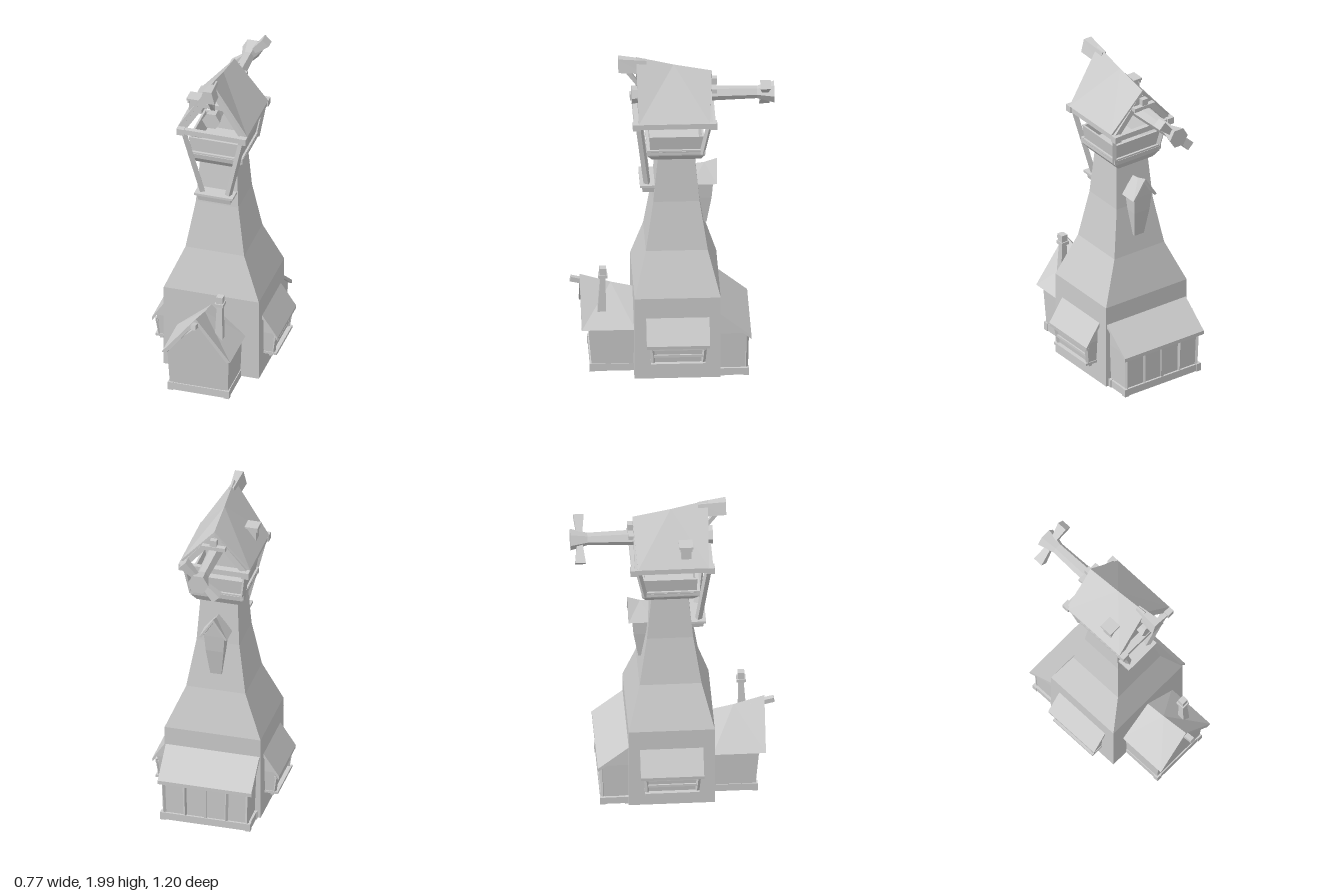
import * as THREE from 'three';

const stone = new THREE.MeshStandardMaterial({ color: 0xcccccc, side: THREE.DoubleSide, flatShading: true });
stone.name = 'pale grey';

// Mesh from flat polygons, each fanned into triangles
function faces(parent, name, polys) {
  const pos = [];
  for (const p of polys)
    for (let i = 1; i < p.length - 1; i++) pos.push(...p[0], ...p[i], ...p[i + 1]);
  const g = new THREE.BufferGeometry();
  g.setAttribute('position', new THREE.Float32BufferAttribute(pos, 3));
  g.computeVertexNormals();
  const m = new THREE.Mesh(g, stone);
  m.name = name;
  parent.add(m);
  return m;
}

// Skin over a stack of equal-length rings
function loft(parent, name, rings, caps = true) {
  const polys = [];
  for (let r = 0; r < rings.length - 1; r++) {
    const a = rings[r], b = rings[r + 1], n = a.length;
    for (let i = 0; i < n; i++) polys.push([a[i], a[(i + 1) % n], b[(i + 1) % n], b[i]]);
  }
  if (caps) polys.push([...rings[0]].reverse(), rings[rings.length - 1]);
  return faces(parent, name, polys);
}

const rect = (y, x0, x1, z0, z1) => [[x0, y, z1], [x1, y, z1], [x1, y, z0], [x0, y, z0]];

function box(parent, name, x0, x1, y0, y1, z0, z1) {
  const m = new THREE.Mesh(new THREE.BoxGeometry(x1 - x0, y1 - y0, z1 - z0), stone);
  m.position.set((x0 + x1) / 2, (y0 + y1) / 2, (z0 + z1) / 2);
  m.name = name;
  parent.add(m);
  return m;
}

// Square timber between two points
function beam(parent, name, a, b, w) {
  const A = new THREE.Vector3(...a), B = new THREE.Vector3(...b);
  const m = new THREE.Mesh(new THREE.BoxGeometry(w, w, A.distanceTo(B)), stone);
  m.position.copy(A).add(B).multiplyScalar(0.5);
  m.lookAt(B);
  m.name = name;
  parent.add(m);
}

// Sagging gable roof; ridge = [[y, z] front, middle, back]
function gableRoof(parent, name, w, eaveY, eaveF, eaveB, ridge, t) {
  const polys = [];
  for (const s of [-1, 1]) {
    const layer = (d) => ({
      ef: [s * (w - d), eaveY - d * 0.3, eaveF], eb: [s * (w - d), eaveY - d * 0.3, eaveB],
      r: ridge.map(([y, z]) => [0, y - d * 1.4, z]),
    });
    const o = layer(0), n = layer(t);
    for (const l of [o, n]) {
      const tris = [[l.ef, l.r[1], l.r[0]], [l.ef, l.eb, l.r[1]], [l.eb, l.r[2], l.r[1]]];
      const flip = (s < 0) !== (l === n);
      polys.push(...tris.map((p) => (flip ? p.reverse() : p)));
    }
    const rims = [[o.ef, o.r[0], n.r[0], n.ef], [o.eb, n.eb, n.r[2], o.r[2]], [o.ef, n.ef, n.eb, o.eb]];
    polys.push(...rims.map((p) => (s < 0 ? p.reverse() : p)));
  }
  return faces(parent, name, polys);
}

// Four beams round a rectangle with blocks on the corners
function sill(parent, name, y0, y1, hx, z0, z1, t, e) {
  for (const s of [-1, 1]) box(parent, name + 'Side', s * hx - t, s * hx + t, y0, y1, z0, z1);
  for (const z of [z0, z1]) {
    box(parent, name + 'Cross', -hx, hx, y0, y1, z - t, z + t);
    for (const s of [-1, 1])
      box(parent, name + 'Corner', s * hx - t - e, s * hx + t + e, y0 - e / 2, y1 + e / 2, z - t - e, z + t + e);
  }
}

function addPart(root, name) {
  const g = new THREE.Group();
  g.name = name;
  root.add(g);
  return g;
}

function buildTower(g) {
  const shell = [[0.01, 0.292, 0.253], [0.54, 0.292, 0.253], [0.8, 0.18, 0.182], [1.1, 0.13, 0.136], [1.39, 0.112, 0.108]];
  loft(g, 'towerWall', shell.map(([y, x, z]) => rect(y, -x, x, -0.021 - z, -0.021 + z)), false);
  // Lookout platform: flared base, rail and open parapet
  loft(g, 'platformBase', [rect(1.38, -0.125, 0.125, -0.165, 0.12), rect(1.42, -0.158, 0.158, -0.187, 0.15), rect(1.45, -0.165, 0.165, -0.19, 0.155)]);
  const wall = (d) => [rect(1.45, -0.15 + d, 0.15 - d, -0.172 + d, 0.135 - d), rect(1.55, -0.168 + d, 0.168 - d, -0.182 + d, 0.138 - d)];
  const [b, t] = wall(0), [ib, it] = wall(0.012);
  loft(g, 'parapet', [b, t, it, ib], false);
  sill(g, 'platformRail', 1.43, 1.46, 0.155, -0.178, 0.142, 0.009, 0.002);
  // Bracket carrying the front posts
  loft(g, 'bracket', [rect(1.15, -0.098, 0.098, 0.08, 0.175), rect(1.19, -0.105, 0.105, 0.08, 0.182)]);
  box(g, 'bracketPlate', -0.118, 0.118, 1.188, 1.202, 0.09, 0.192);
  for (const s of [-1, 1]) {
    beam(g, 'frontPost', [s * 0.08, 1.2, 0.15], [s * 0.182, 1.63, 0.2], 0.03);
    beam(g, 'backPost', [s * 0.155, 1.43, -0.17], [s * 0.185, 1.63, -0.21], 0.024);
  }
}

function buildTopHouse(g) {
  sill(g, 'roofPlate', 1.622, 1.655, 0.19, -0.235, 0.215, 0.015, 0.008);
  gableRoof(g, 'topRoof', 0.212, 1.66, 0.203, -0.215, [[2, 0.21], [1.945, -0.01], [1.9, -0.235]], 0.02);
  // Gable timbers and collars
  for (const [z, top] of [[0.185, 1.935], [-0.215, 1.86]]) {
    for (const s of [-1, 1]) beam(g, 'gableTimber', [s * 0.18, 1.65, z], [0, top, z], 0.034);
  }
  box(g, 'frontCollar', -0.065, 0.065, 1.81, 1.84, 0.17, 0.2);
  box(g, 'backCollar', -0.072, 0.072, 1.785, 1.81, -0.262, -0.225);
  box(g, 'backRidgeEnd', -0.02, 0.02, 1.815, 1.855, -0.265, -0.2);
  // Flared ridge finial and its strut
  const fin = (z, y0, y1, w0, w1) => [[-w0, y0, z], [w0, y0, z], [w1, y1, z], [-w1, y1, z]];
  loft(g, 'ridgeFinial', [fin(0.15, 1.9, 1.98, 0.03, 0.012), fin(0.315, 1.92, 2, 0.046, 0.026)]);
  beam(g, 'finialStrut', [0, 1.94, 0.285], [0, 1.81, 0.19], 0.024);
  // Small box window on the roof slope
  box(g, 'roofWindow', -0.178, -0.1, 1.7, 1.785, 0.042, 0.102);
  box(g, 'roofWindowLintel', -0.186, -0.172, 1.765, 1.785, 0.038, 0.106);
  loft(g, 'roofWindowCover', [rect(1.785, -0.19, -0.11, 0.03, 0.112), rect(1.798, -0.19, -0.11, 0.03, 0.112)]);
}

function buildAxle(g) {
  const hex = (z, r) => Array.from({ length: 6 }, (_, i) =>
    [r * Math.cos(i * Math.PI / 3), 1.75 + r * Math.sin(i * Math.PI / 3), z]);
  loft(g, 'axleShaft', [hex(-0.6, 0.064), hex(-0.5, 0.037), hex(-0.22, 0.045), hex(0.17, 0.045), hex(0.237, 0.055)]);
  for (const turn of [-Math.PI / 4, Math.PI * 0.75]) {
    const m = loft(g, 'sailStub', [rect(0.02, -0.015, 0.015, -0.016, 0.016), rect(0.145, -0.028, 0.028, -0.031, 0.031)]);
    m.position.set(0, 1.75, -0.546);
    m.rotation.z = turn;
  }
}

function buildPorch(g) {
  const ring = (z, lean) => [[-0.178, 0.02], [0.178, 0.02], [0.188, 0.3], [0, 0.49], [-0.188, 0.3]]
    .map(([x, y]) => [x, y * (z < 0.3 ? 0.92 : 1), z + y * lean]);
  loft(g, 'porchWalls', [ring(0.2, 0), ring(0.475, 0.085)]);
  sill(g, 'porchSill', 0.008, 0.055, 0.172, 0.21, 0.475, 0.012, 0.004);
  gableRoof(g, 'porchRoof', 0.21, 0.292, 0.538, 0.225, [[0.56, 0.542], [0.503, 0.36], [0.472, 0.225]], 0.024);
  // Projecting ridge beam
  beam(g, 'porchRidgeBeam', [0, 0.5, 0.46], [0, 0.533, 0.597], 0.03);
  // Tapered chimney with stepped cap
  loft(g, 'chimney', [rect(0.375, 0.085, 0.132, 0.393, 0.442), rect(0.6, 0.093, 0.127, 0.395, 0.426)]);
  box(g, 'chimneyCollar', 0.083, 0.136, 0.597, 0.617, 0.384, 0.438);
  box(g, 'chimneyTop', 0.09, 0.13, 0.617, 0.66, 0.391, 0.431);
}

function buildLeanTo(g) {
  loft(g, 'leanToBody', [rect(0.02, -0.255, 0.255, -0.424, -0.2), rect(0.285, -0.265, 0.265, -0.428, -0.2), rect(0.4, -0.265, 0.265, -0.28, -0.2)]);
  sill(g, 'leanToSill', 0.01, 0.055, 0.258, -0.425, -0.28, 0.012, 0.004);
  const edge = (x) => [[x, 0.255, -0.455], [x, 0.412, -0.262], [x, 0.435, -0.262], [x, 0.278, -0.455]];
  loft(g, 'leanToRoof', [edge(0.285), edge(-0.285)]);
  // Posts dividing the back wall into four panels
  for (let i = 0; i < 5; i++) {
    const x = -0.25 + i * 0.125;
    beam(g, 'leanToPost', [x, 0.05, -0.425], [x * 1.03, 0.28, -0.43], 0.016);
  }
  box(g, 'leanToRail', -0.262, 0.262, 0.262, 0.28, -0.438, -0.42);
}

function buildBay(g) {
  loft(g, 'bayBody', [rect(0.14, 0.27, 0.346, -0.155, 0.155), rect(0.28, 0.27, 0.362, -0.165, 0.165), rect(0.4, 0.27, 0.295, -0.165, 0.165)]);
  const edge = (z) => [[0.28, 0.4, z], [0.384, 0.25, z], [0.386, 0.27, z], [0.28, 0.428, z]];
  loft(g, 'bayRoof', [edge(-0.186), edge(0.186)]);
  box(g, 'bayLedge', 0.27, 0.372, 0.132, 0.147, -0.16, 0.16);
  box(g, 'baySill', 0.34, 0.362, 0.185, 0.2, -0.15, 0.15);
  box(g, 'bayLintel', 0.35, 0.37, 0.235, 0.25, -0.165, 0.165);
  for (const s of [-1, 1]) {
    beam(g, 'bayPost', [0.348, 0.145, s * 0.147], [0.364, 0.26, s * 0.157], 0.018);
    box(g, 'bayFoot', 0.325, 0.345, 0.12, 0.134, s * 0.148 - 0.008, s * 0.148 + 0.008);
  }
}

function buildOriel(g) {
  loft(g, 'orielBody', [rect(0.91, -0.034, 0.034, -0.202, -0.13), rect(1.08, -0.054, 0.054, -0.231, -0.12),
    rect(1.185, -0.062, 0.062, -0.24, -0.1), rect(1.28, -0.004, 0.004, -0.245, -0.1)]);
  gableRoof(g, 'orielRoof', 0.085, 1.185, -0.262, -0.11, [[1.315, -0.265], [1.29, -0.19], [1.28, -0.11]], 0.014);
}

export function createModel() {
  const root = new THREE.Group();
  root.name = 'towerHouse';
  buildTower(addPart(root, 'tower'));
  buildTopHouse(addPart(root, 'topHouse'));
  buildAxle(addPart(root, 'axle'));
  buildPorch(addPart(root, 'porch'));
  buildLeanTo(addPart(root, 'leanTo'));
  buildOriel(addPart(root, 'oriel'));
  for (const side of ['left', 'right']) {
    const bay = addPart(root, side + 'Bay');
    buildBay(bay);
    bay.position.z = -0.022;
    if (side === 'right') bay.rotation.y = Math.PI;
  }
  return root;
}
